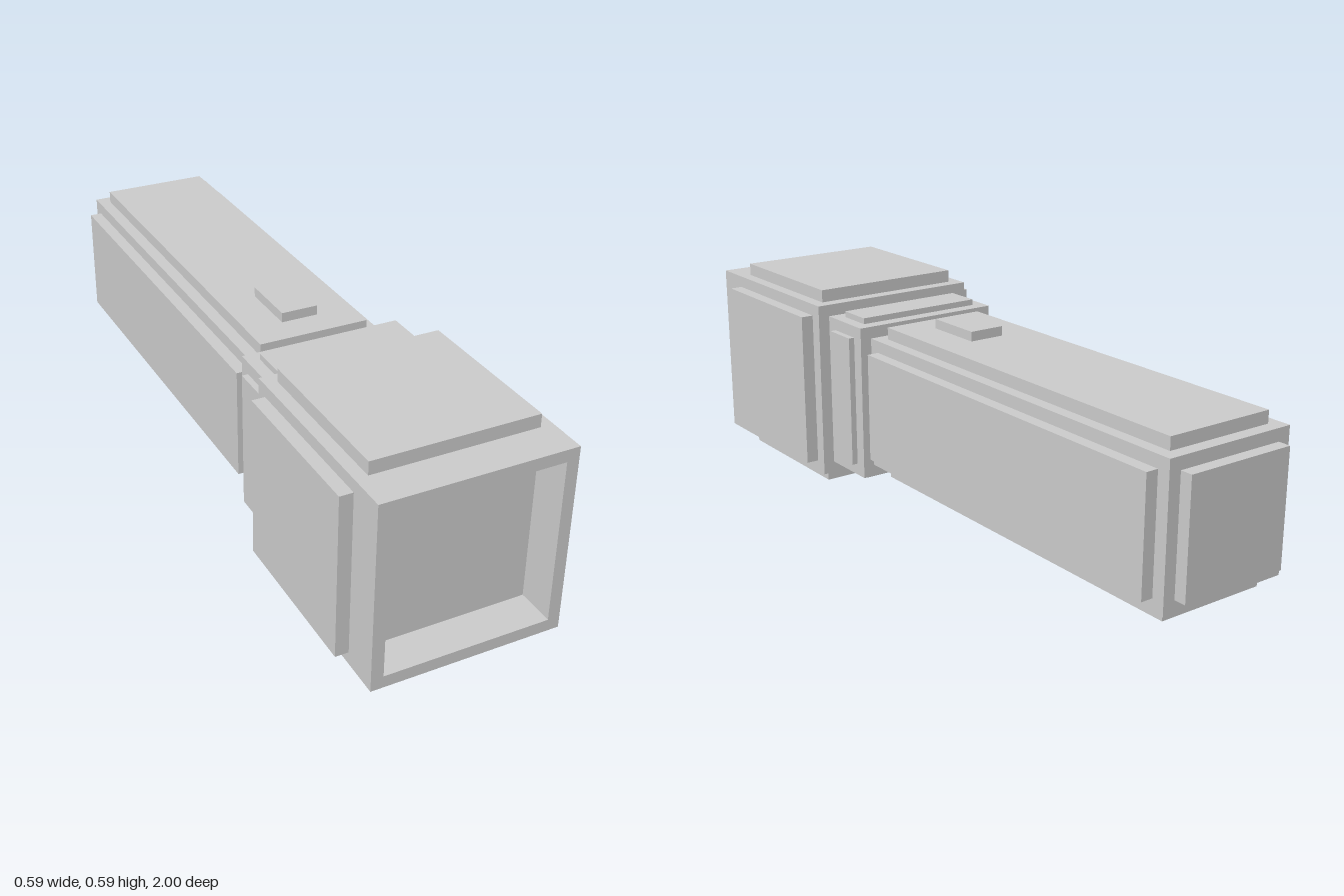
import * as THREE from 'three';

const CENTRE_Y = 0.294;
const material = new THREE.MeshStandardMaterial({ color: 0xcccccc, flatShading: true });

// Box centred on the long axis (or raised by y), running from z0 to z1
function block(name, width, height, z0, z1, x = 0, y = 0) {
  const mesh = new THREE.Mesh(new THREE.BoxGeometry(width, height, z1 - z0), material);
  mesh.position.set(x, y, (z0 + z1) / 2);
  mesh.name = name;
  return mesh;
}

// Four raised plates around a square core
function sidePlates(name, coreHalf, outerHalf, plateHalf, z0, z1) {
  const group = new THREE.Group();
  group.name = name;
  const thick = outerHalf - coreHalf;
  const offset = (outerHalf + coreHalf) / 2;
  for (const s of [-1, 1]) {
    group.add(block('sidePlate', thick, plateHalf * 2, z0, z1, s * offset, 0));
    group.add(block(s > 0 ? 'topPlate' : 'bottomPlate', plateHalf * 2, thick, z0, z1, 0, s * offset));
  }
  return group;
}

export function createModel() {
  const model = new THREE.Group();
  model.name = 'flashlight';
  const parts = new THREE.Group();
  parts.name = 'parts';
  parts.position.y = CENTRE_Y;
  model.add(parts);

  // Head: solid rear with a square rim around the recessed lens
  const H = 0.258, R = 0.225, lensZ = 0.895;
  parts.add(block('head', H * 2, H * 2, 0.413, lensZ));
  const rimShape = new THREE.Shape([[-H, -H], [H, -H], [H, H], [-H, H]].map(p => new THREE.Vector2(...p)));
  rimShape.holes.push(new THREE.Path([[-R, -R], [-R, R], [R, R], [R, -R]].map(p => new THREE.Vector2(...p))));
  const rim = new THREE.Mesh(
    new THREE.ExtrudeGeometry(rimShape, { depth: 1 - lensZ, bevelEnabled: false }), material);
  rim.position.z = lensZ;
  rim.name = 'headRim';
  parts.add(rim);
  parts.add(sidePlates('headPlates', H, 0.294, 0.224, 0.449, lensZ));

  // Collar between head and handle
  parts.add(block('collar', 0.448, 0.448, 0.241, 0.413));
  parts.add(sidePlates('collarPlates', 0.224, 0.241, 0.19, 0.277, 0.378));

  // Handle with its plates and end cap
  parts.add(block('handle', 0.38, 0.38, -0.966, 0.241));
  parts.add(sidePlates('handlePlates', 0.19, 0.224, 0.156, -0.93, 0.206));
  parts.add(block('endCap', 0.312, 0.312, -1, -0.966));

  // Switch on top of the handle
  parts.add(block('switchButton', 0.104, 0.027, -0.051, 0.12, 0, 0.2375));

  return model;
}
